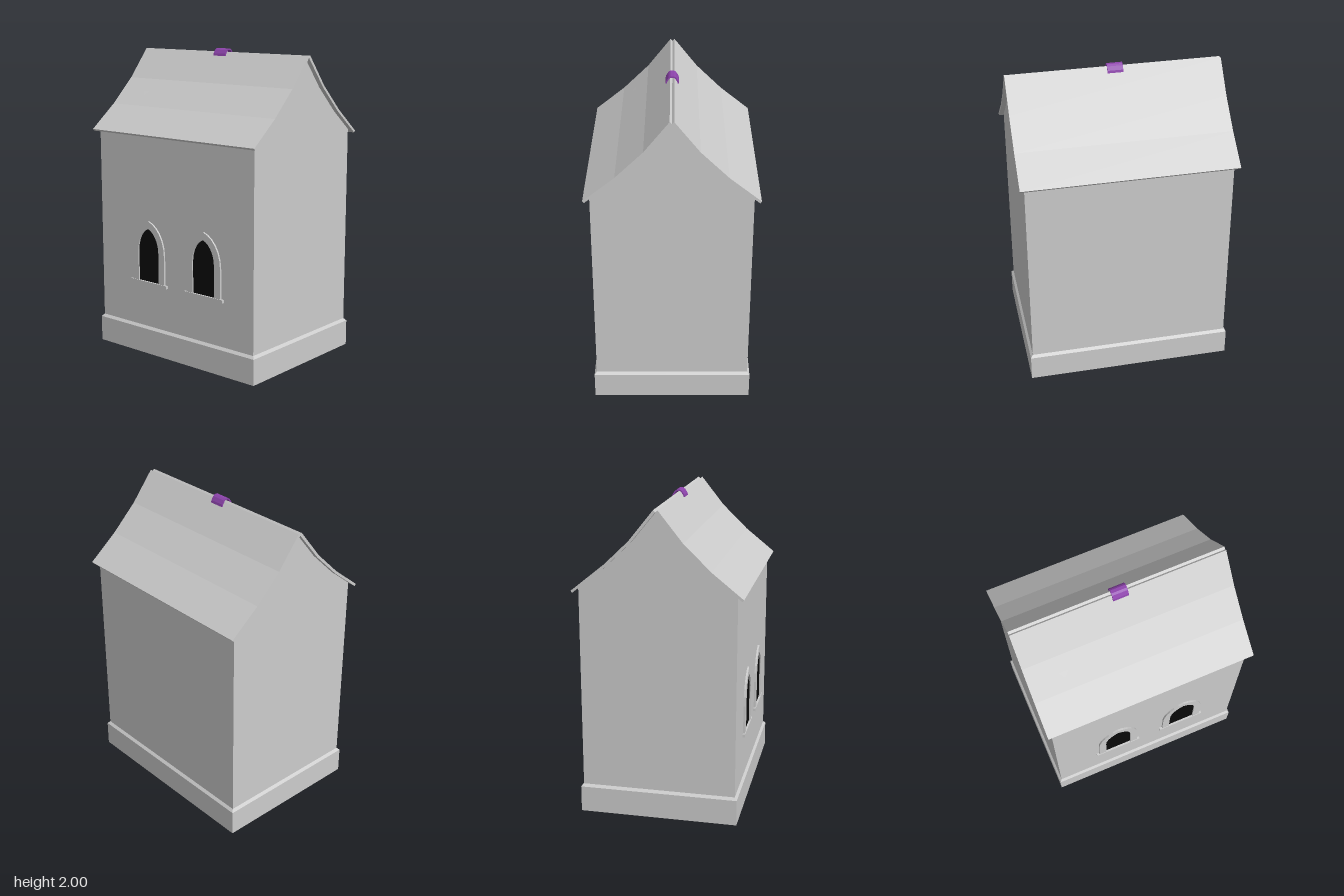
import * as THREE from 'three';

const stone = new THREE.MeshStandardMaterial({ color: 0xcccccc });
stone.name = 'paleStone';
const stoneShell = new THREE.MeshStandardMaterial({ color: 0xcccccc, side: THREE.DoubleSide });
stoneShell.name = 'paleStoneShell';
const purple = new THREE.MeshStandardMaterial({ color: 0x8e44ad });
purple.name = 'purple';
const black = new THREE.MeshStandardMaterial({ color: 0x0a0a0a });
black.name = 'windowBlack';

const polygon = (pts) => new THREE.Shape(pts.map(([x, y]) => new THREE.Vector2(x, y)));
const mirrored = (pts) => pts.map(([z, y]) => [-z, y]).reverse();

function addMesh(parent, name, geometry, material) {
  const mesh = new THREE.Mesh(geometry, material);
  mesh.name = name;
  parent.add(mesh);
  return mesh;
}

// A (z, y) outline extruded along x, centred on x = 0
function extrudeAlongX(pts, length) {
  return new THREE.ExtrudeGeometry(polygon(pts), { depth: length, bevelEnabled: false })
    .rotateY(-Math.PI / 2).translate(length / 2, 0, 0);
}

// Open rectangular skin through [halfX, halfZ, y] rings
function rectangularSkin(rings) {
  const pos = [];
  const corners = ([x, z, y]) => [[-x, y, z], [x, y, z], [x, y, -z], [-x, y, -z]];
  for (let r = 0; r < rings.length - 1; r++) {
    const lo = corners(rings[r]), hi = corners(rings[r + 1]);
    for (let i = 0; i < 4; i++) {
      const j = (i + 1) % 4;
      pos.push(...lo[i], ...lo[j], ...hi[j], ...lo[i], ...hi[j], ...hi[i]);
    }
  }
  const g = new THREE.BufferGeometry();
  g.setAttribute('position', new THREE.Float32BufferAttribute(pos, 3));
  g.computeVertexNormals();
  return g;
}

// Pointed arch outline, centred on x = 0
function archPoints(halfWidth, bottom, spring, apex, round) {
  const curve = new THREE.CubicBezierCurve(
    new THREE.Vector2(halfWidth, spring),
    new THREE.Vector2(halfWidth, spring + (apex - spring) * 0.55),
    new THREE.Vector2(halfWidth * round, apex - (apex - spring) * 0.08),
    new THREE.Vector2(0, apex));
  const right = curve.getPoints(6).map((p) => [p.x, p.y]);
  return [[-halfWidth, bottom], [halfWidth, bottom], ...right, ...mirrored(right).slice(1)];
}

function makeWindow(x) {
  const group = new THREE.Group();
  group.name = 'archedWindow';
  const inner = archPoints(0.09, 0.494, 0.7, 0.85, 0.45);
  const outer = polygon(archPoints(0.14, 0.49, 0.68, 0.9, 0.5));
  outer.holes.push(new THREE.Path(inner.map(([a, b]) => new THREE.Vector2(a, b))));
  addMesh(group, 'windowFrame',
    new THREE.ExtrudeGeometry(outer, { depth: 0.012, bevelEnabled: false }), stone);
  addMesh(group, 'windowPane', new THREE.ShapeGeometry(polygon(inner)), black).position.z = 0.003;
  addMesh(group, 'windowSill', new THREE.BoxGeometry(0.32, 0.02, 0.016), stone)
    .position.set(0, 0.484, 0.008);
  group.position.set(x, 0, 0.49);
  return group;
}

export function createModel() {
  const model = new THREE.Group();
  model.name = 'gabledHouse';

  // Hollow plinth with a chamfered top
  addMesh(model, 'plinth',
    rectangularSkin([[0.67, 0.505, 0], [0.67, 0.505, 0.168], [0.655, 0.49, 0.185]]), stoneShell);

  // Walls, open underneath
  addMesh(model, 'walls', rectangularSkin([[0.655, 0.49, 0.185], [0.655, 0.49, 1.479]]), stoneShell);

  // Gable ends follow the underside of the curved roof
  const gableSide = [[0.49, 1.479], [0.325, 1.61], [0.155, 1.775], [0, 1.965]];
  const gable = [...gableSide, ...mirrored(gableSide).slice(1)];
  for (const side of [-1, 1]) {
    const mesh = addMesh(model, side > 0 ? 'leftGable' : 'rightGable',
      new THREE.ShapeGeometry(polygon(gable)).rotateY(side * Math.PI / 2), stoneShell);
    mesh.position.x = side * 0.655;
  }

  // Two curved roof slabs meeting in a shallow ridge groove
  const slab = [[0, 1.965], [0.155, 1.775], [0.325, 1.61], [0.52, 1.455],
    [0.53, 1.467], [0.336, 1.622], [0.166, 1.787], [0.013, 1.978]];
  addMesh(model, 'frontRoof', extrudeAlongX(slab, 1.37), stone);
  addMesh(model, 'backRoof', extrudeAlongX(mirrored(slab), 1.37), stone);

  // Faceted ridge tile
  const capOuter = [[0.042, 1.953], [0.038, 1.968], [0.023, 1.991], [0.01, 2]];
  const capInner = [[0.01, 1.99], [0.018, 1.984], [0.031, 1.963], [0.034, 1.953]];
  addMesh(model, 'ridgeTile', extrudeAlongX(
    [...capOuter, ...mirrored(capOuter), ...mirrored(capInner), ...capInner], 0.1), purple);

  // Small tile corner lying on the front slope
  const chip = new THREE.BufferGeometry();
  chip.setAttribute('position', new THREE.Float32BufferAttribute(
    [-0.49, 1.712, 0.246, -0.46, 1.684, 0.276, -0.43, 1.712, 0.246], 3));
  chip.computeVertexNormals();
  addMesh(model, 'roofTileCorner', chip, stoneShell);

  for (const x of [-0.215, 0.26]) model.add(makeWindow(x));
  return model;
}
